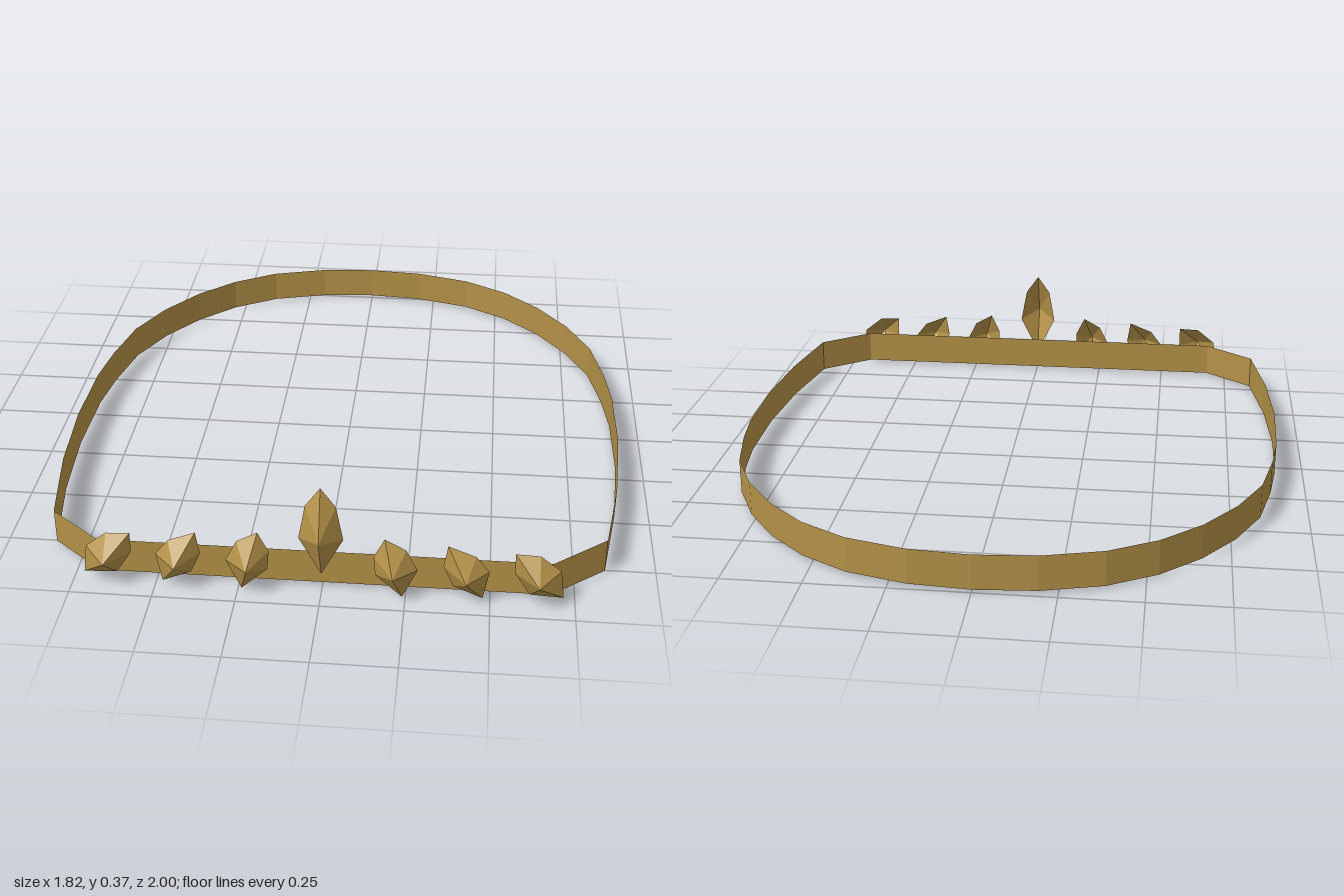
import * as THREE from 'three';

export function createModel() {
  const group = new THREE.Group();
  const brass = new THREE.MeshStandardMaterial({ color: 0xb39147, side: THREE.DoubleSide, flatShading: true });
  brass.name = 'brass';

  const addMesh = (name, positions) => {
    const geometry = new THREE.BufferGeometry();
    geometry.setAttribute('position', new THREE.Float32BufferAttribute(positions, 3));
    geometry.computeVertexNormals();
    const mesh = new THREE.Mesh(geometry, brass);
    mesh.name = name;
    group.add(mesh);
  };

  // Band: half outline (x, z) from front corner to back centre, mirrored to a closed loop
  const half = [
    [0.68, 0.897], [0.845, 0.765], [0.89, 0.48], [0.91, 0.2], [0.905, -0.07], [0.885, -0.23], [0.845, -0.42],
    [0.765, -0.585], [0.66, -0.728], [0.535, -0.845], [0.383, -0.933], [0.192, -0.985], [0, -1],
  ];
  const outline = [...half, ...half.slice(0, -1).reverse().map(([x, z]) => [-x, z])];
  const low = 0.01, high = 0.123;
  const band = [];
  outline.forEach(([x1, z1], i) => {
    const [x2, z2] = outline[(i + 1) % outline.length];
    band.push(x1, low, z1, x2, low, z2, x2, high, z2);
    band.push(x1, low, z1, x2, high, z2, x1, high, z1);
  });
  addMesh('band', band);

  // Crystals: open faceted shells, an outline at the back rising to one point in front
  const addCrystal = (name, apex, rim, side = 1) => {
    const points = side > 0 ? rim : rim.map(([x, y]) => [-x, y]).reverse();
    const positions = [];
    points.forEach(([x1, y1], i) => {
      const [x2, y2] = points[(i + 1) % points.length];
      positions.push(apex[0] * side, apex[1], 1, x1, y1, 0.933, x2, y2, 0.933);
    });
    addMesh(name, positions);
  };

  addCrystal('centreCrystal', [0, 0.22],
    [[0, 0.373], [-0.045, 0.31], [-0.066, 0.195], [0, 0.068], [0.066, 0.195], [0.045, 0.31]]);

  // Side crystals, given for the -x side and mirrored
  const crystals = {
    innerCrystal: [[-0.215, 0.107],
      [[-0.187, 0.205], [-0.25, 0.17], [-0.285, 0.1], [-0.24, 0], [-0.16, 0.075], [-0.155, 0.14]]],
    middleCrystal: [[-0.428, 0.105],
      [[-0.372, 0.193], [-0.455, 0.16], [-0.495, 0.108], [-0.478, 0.012], [-0.39, 0.05], [-0.36, 0.12]]],
    outerCrystal: [[-0.64, 0.105],
      [[-0.568, 0.178], [-0.64, 0.175], [-0.703, 0.125], [-0.715, 0.03], [-0.615, 0.035], [-0.568, 0.11]]],
  };
  for (const [name, [apex, rim]] of Object.entries(crystals)) {
    addCrystal(name + 'Right', apex, rim);
    addCrystal(name + 'Left', apex, rim, -1);
  }

  return group;
}
